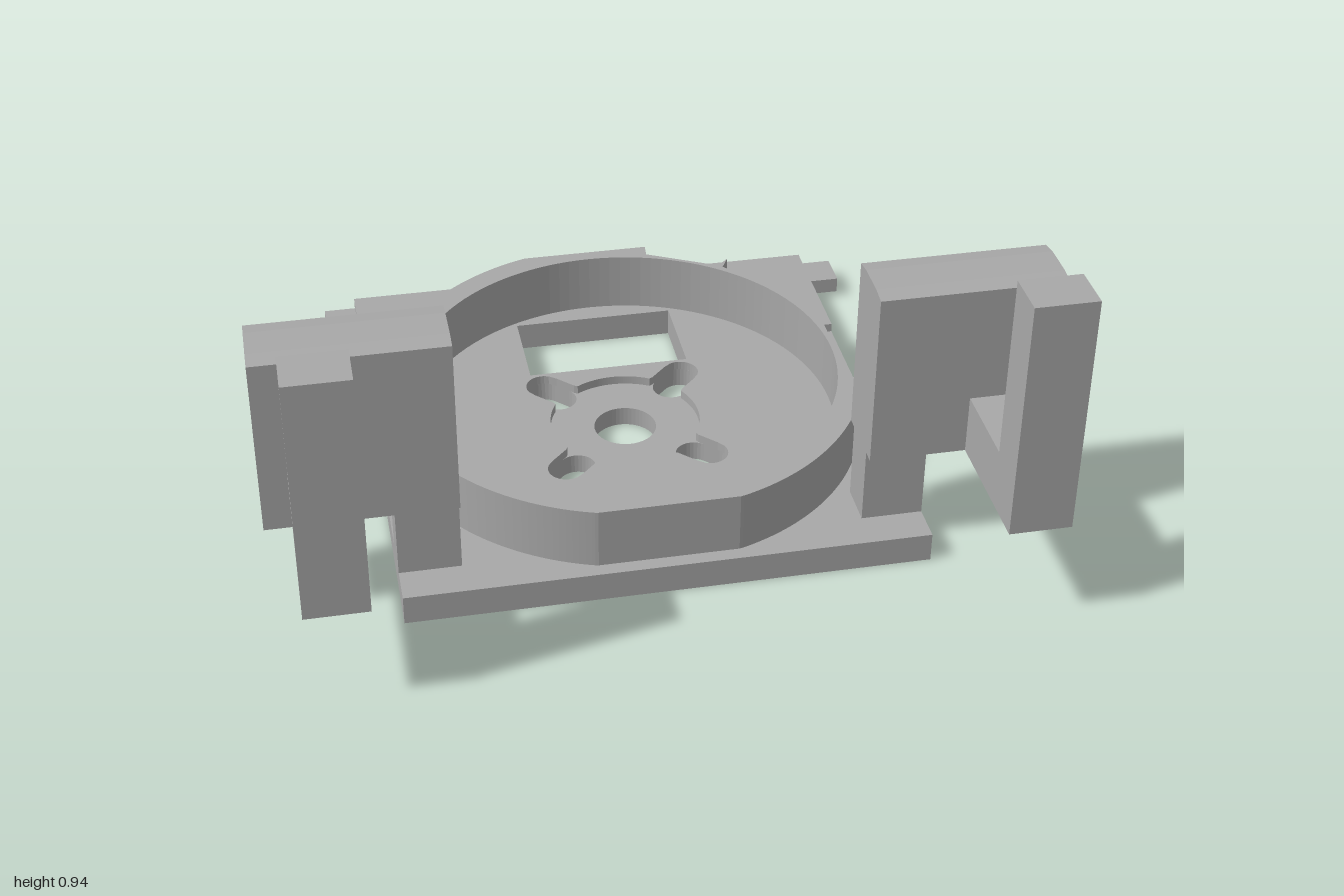
import * as THREE from 'three';

const RAD = Math.PI / 180;
const CY = 0.09;        // dish centre (plan coordinates: x right, y towards the back)
const CUT = 0.585;      // distance of the flat cuts from the dish centre
const STEP = 0.055;     // height of recess floors
const TOP = 0.08;       // plate top

// Flat cuts around the dish: direction angle and sideways range
const cuts = [
  { a: 0, lo: -0.15, hi: 0.355 },
  { a: 180, lo: -0.355, hi: 0.15 },
  { a: 63, lo: -0.11, hi: 0.11 },
  { a: 41, lo: -0.11, hi: 0.11 },
];

const points = (list) => list.map(([x, y]) => new THREE.Vector2(x, y));
const path = (list) => new THREE.Path(points(list));

// Closed outline around the dish centre from a radius rule
function radial(rule, n) {
  const out = [];
  for (let i = 0; i < n; i++) {
    const t = (i / n) * Math.PI * 2;
    const r = rule(t);
    out.push([r * Math.cos(t), CY + r * Math.sin(t)]);
  }
  return out;
}

// Outer edge of the dish wall
function wallRadius(t) {
  let r = Math.min(0.64, 0.613 / Math.max(Math.abs(Math.sin(t)), 1e-6));
  for (const c of cuts) {
    const d = t - c.a * RAD;
    if (Math.cos(d) <= 0.5) continue;
    const side = CUT * Math.tan(d);
    if (side >= c.lo && side <= c.hi) r = Math.min(r, CUT / Math.cos(d));
  }
  return r;
}

// Round recess joined with the four diagonal slots
function recessRadius(t) {
  const q = Math.PI / 2;
  const d = Math.abs((t % q) - q / 2);
  const s = 0.276 * Math.sin(d);
  if (s <= 0.05) return 0.276 * Math.cos(d) + Math.sqrt(0.0025 - s * s);
  return Math.max(0.205, 0.05 / Math.sin(d));
}

// One diagonal screw slot
function slot(k) {
  const a = (45 + 90 * k) * RAD;
  const out = [];
  for (const [d, from] of [[0.276, -90], [0.226, 90]]) {
    for (let i = 0; i <= 16; i++) {
      const t = a + (from + (i * 180) / 16) * RAD;
      out.push([d * Math.cos(a) + 0.05 * Math.cos(t), CY + d * Math.sin(a) + 0.05 * Math.sin(t)]);
    }
  }
  return path(out);
}

// Rectangular pit outside a flat cut
function pit({ a, lo, hi }) {
  const c = Math.cos(a * RAD), s = Math.sin(a * RAD);
  return path([[CUT, lo], [0.735, lo], [0.735, hi], [CUT, hi]]
    .map(([r, w]) => [r * c - w * s, CY + r * s + w * c]));
}

const windowHole = () => path([[-0.225, 0.345], [0.225, 0.345], [0.225, 0.605], [-0.225, 0.605]]);

export function createModel() {
  const model = new THREE.Group();
  model.name = 'mountingBase';
  const grey = new THREE.MeshStandardMaterial({ color: 0xa8a8a8 });
  grey.name = 'grey';

  function add(name, geometry, parent = model) {
    const mesh = new THREE.Mesh(geometry, grey);
    mesh.name = name;
    parent.add(mesh);
  }
  // Extrude a plan outline between two heights
  function slab(name, outline, holes, y0, y1) {
    const shape = new THREE.Shape(points(outline));
    shape.holes.push(...holes);
    const g = new THREE.ExtrudeGeometry(shape, { depth: y1 - y0, bevelEnabled: false });
    add(name, g.rotateX(-Math.PI / 2).translate(0, y0, 0));
  }
  function box(name, x0, x1, y0, y1, z0, z1, parent) {
    const g = new THREE.BoxGeometry(x1 - x0, y1 - y0, z1 - z0);
    add(name, g.translate((x0 + x1) / 2, (y0 + y1) / 2, (z0 + z1) / 2), parent);
  }

  // Plate, lower layer with through holes
  slab('lowerPlate', [[-0.68, -0.56], [0.68, -0.56], [0.68, 0.84], [-0.68, 0.84]],
    [windowHole(), path(radial(() => 0.085, 48)), ...[0, 1, 2, 3].map(slot)], 0, STEP);

  // Plate, upper layer with side notches, pits and centre recess
  slab('upperPlate', [
    [-0.68, -0.56], [0.68, -0.56], [0.68, -0.06], [CUT, -0.06], [CUT, 0.445], [0.68, 0.445],
    [0.68, 0.84], [-0.68, 0.84], [-0.68, 0.445], [-CUT, 0.445], [-CUT, -0.06], [-0.68, -0.06],
  ], [windowHole(), path(radial(recessRadius, 240)), pit(cuts[2]), pit(cuts[3])], STEP, TOP);

  // Dish wall
  slab('dishWall', radial(wallRadius, 480), [path(radial(() => 0.575, 120))], TOP, 0.247);

  // Mirrored side parts
  for (const s of [1, -1]) {
    const side = new THREE.Group();
    side.name = s > 0 ? 'leftBracket' : 'rightBracket';
    model.add(side);
    const span = (a, b) => (s > 0 ? [a, b] : [-b, -a]);
    box('rearTab', ...span(0.67, 0.77), 0.015, 0.06, -0.82, -0.715, side);
    box('post', ...span(0.52, 0.68), TOP, 0.29, 0.345, 0.46, side);
    box('hookArm', ...span(0.77, 0.93), 0.29, 0.45, 0.495, 0.725, side);
    box('hookUpright', ...span(0.77, 0.93), 0.29, 0.94, 0.725, 0.845, side);

    // Block with a slightly crowned top
    const profile = new THREE.Shape(points([
      [-0.495, 0.29], [-0.315, 0.29], [-0.315, 0.767], [-0.36, 0.775], [-0.45, 0.775], [-0.495, 0.767],
    ]));
    const block = new THREE.ExtrudeGeometry(profile, { depth: 0.48, bevelEnabled: false });
    add('block', block.rotateY(Math.PI / 2).translate(s > 0 ? 0.52 : -1, 0, 0), side);
  }
  return model;
}
